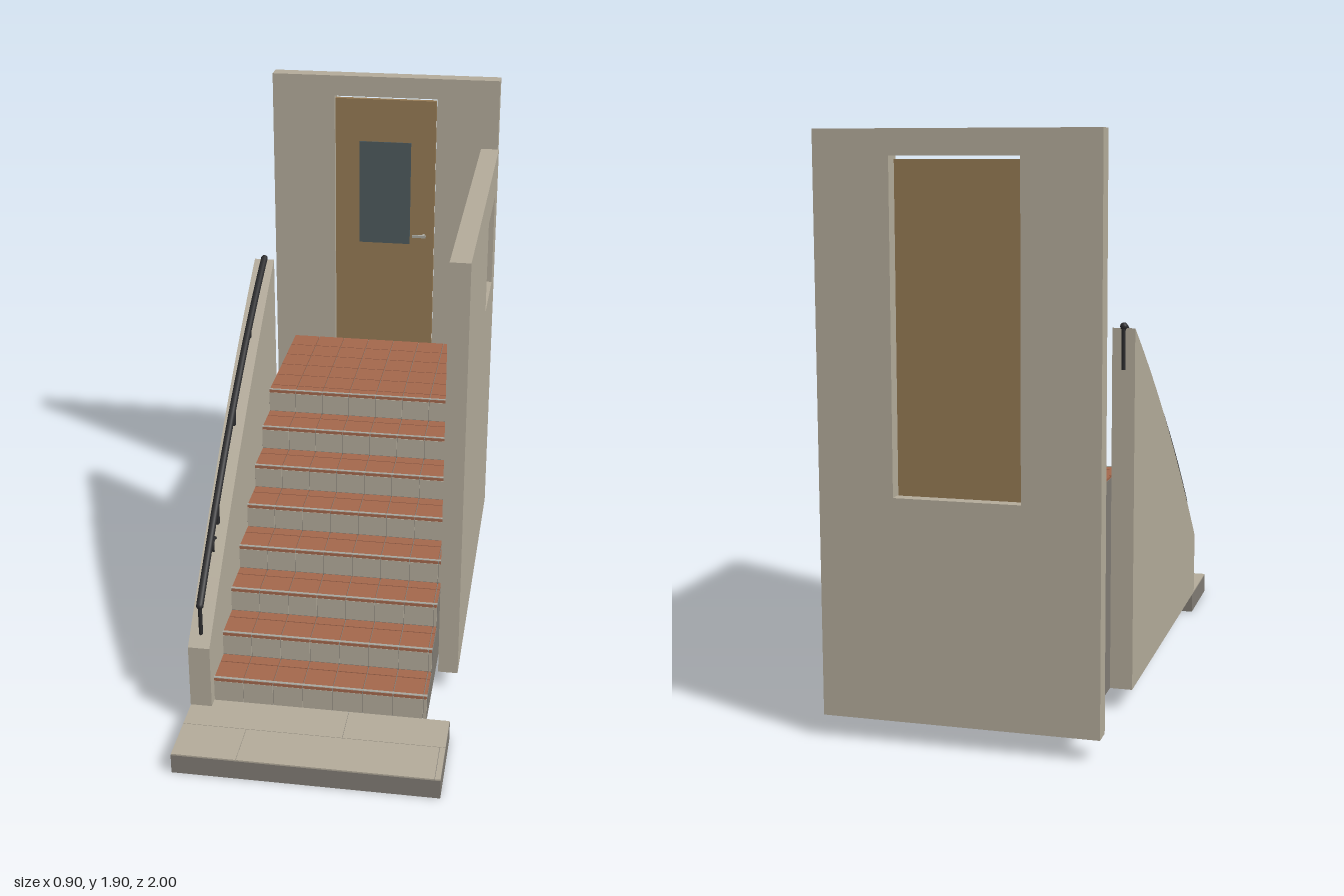
import * as THREE from 'three';

const mat = (name, color) => {
  const m = new THREE.MeshStandardMaterial({ color });
  m.name = name;
  return m;
};

export function createModel() {
  const model = new THREE.Group();
  model.name = 'entranceStairs';
  const plaster = mat('plaster', 0xb3ab9a);
  const concrete = mat('concrete', 0x817c74);
  const terracotta = mat('terracotta', 0xa3674c);
  const wood = mat('wood', 0x957a54);
  const glass = mat('glass', 0x4d5a5d);
  const iron = mat('iron', 0x2b2b2d);
  const metal = mat('metal', 0xa9a89f);

  const add = (name, geo, material, parent = model) => {
    const mesh = new THREE.Mesh(geo, material);
    mesh.name = name;
    parent.add(mesh);
    return mesh;
  };
  // Box given by its limits on each axis
  const box = (name, x0, x1, y0, y1, z0, z1, material, parent) => {
    const geo = new THREE.BoxGeometry(x1 - x0, y1 - y0, z1 - z0);
    geo.translate((x0 + x1) / 2, (y0 + y1) / 2, (z0 + z1) / 2);
    return add(name, geo, material, parent);
  };
  const outline = (pts) => new THREE.Shape(pts.map(([a, b]) => new THREE.Vector2(a, b)));
  const rect = (a0, a1, b0, b1) => outline([[a0, b0], [a1, b0], [a1, b1], [a0, b1]]);
  // Side profile drawn in (z, y), extruded from x0 to x1
  const sideExtrude = (name, shape, x0, x1, material) => {
    const geo = new THREE.ExtrudeGeometry(shape, { depth: x1 - x0, bevelEnabled: false });
    geo.rotateY(-Math.PI / 2);
    geo.translate(x1, 0, 0);
    return add(name, geo, material);
  };
  const group = (name) => {
    const g = new THREE.Group();
    g.name = name;
    model.add(g);
    return g;
  };

  // Front paving slab with staggered tiles
  box('pavingSlab', -0.45, 0.45, 0, 0.07, 0.68, 1, concrete);
  const paving = group('pavingTiles');
  [[0.68, 0.83, [-0.45, 0.1, 0.45]], [0.83, 1, [-0.45, -0.23, 0.43, 0.45]]].forEach(([z0, z1, xs]) => {
    for (let i = 0; i < xs.length - 1; i++) {
      box('pavingTile', xs[i] + 0.001, xs[i + 1] - 0.001, 0.069, 0.075, z0 + 0.001, z1 - 0.001, plaster, paving);
    }
  });

  // Solid stair body
  const steps = 8, run = 0.15, rise = 0.0895, floor = 0.072, left = -0.375, right = 0.37, back = -0.935;
  const nose = (i) => 0.68 - i * run;
  const top = (i) => 0.165 + i * rise;
  const profile = [[nose(0) - 0.006, floor]];
  for (let i = 0; i < steps; i++) {
    profile.push([nose(i) - 0.006, top(i) - 0.008]);
    profile.push([i < steps - 1 ? nose(i + 1) - 0.006 : back, top(i) - 0.008]);
  }
  profile.push([back, floor]);
  sideExtrude('stairBody', outline(profile.reverse()), left, right, concrete);

  // Tread tiles, riser tiles and nosing strips
  const tile = 0.1045, gap = 0.002;
  const columns = [];
  for (let x = left; x < right - 0.005; x += tile) columns.push([x + gap, Math.min(x + tile, right) - gap]);
  const treads = group('treadTiles'), risers = group('riserTiles'), nosings = group('nosings');
  for (let i = 0; i < steps; i++) {
    const y = top(i), z = nose(i);
    const rows = i < steps - 1
      ? [z, z - tile, z - run - 0.002]
      : [z, -0.42, -0.523, -0.626, -0.729, -0.832, back];
    const y0 = i ? top(i - 1) : floor;
    columns.forEach(([x0, x1]) => {
      for (let r = 0; r < rows.length - 1; r++) {
        box('treadTile', x0, x1, y - 0.011, y, rows[r + 1] + gap, rows[r] - (r ? gap : 0), terracotta, treads);
      }
      box('riserTile', x0 - 0.001, x1 + 0.001, y0, y - 0.013, z - 0.01, z - 0.002, plaster, risers);
    });
    box('nosing', left, right, y, y + 0.002, z - 0.011, z - 0.001, metal, nosings);
  }

  // Tall side wall with a recessed window niche and inner sill
  const tall = rect(-0.935, 0.39, 0.072, 1.63);
  tall.holes.push(rect(-0.79, -0.46, 1.13, 1.48));
  sideExtrude('tallSideWall', tall, 0.38, 0.45, plaster);
  box('nichePanel', 0.376, 0.395, 1.13, 1.48, -0.79, -0.46, plaster);
  box('nicheSill', 0.355, 0.385, 1.118, 1.133, -0.82, -0.44, plaster);

  // Back wall with the door opening
  const rear = rect(-0.45, 0.445, 0.072, 1.9);
  rear.holes.push(rect(-0.203, 0.203, 0.785, 1.82));
  const rearGeo = new THREE.ExtrudeGeometry(rear, { depth: 0.065, bevelEnabled: false });
  rearGeo.translate(0, 0, -1);
  add('backWall', rearGeo, plaster);

  // Door with window and handle
  box('door', -0.2, 0.2, 0.785, 1.81, -0.96, -0.94, wood);
  box('doorWindow', -0.103, 0.103, 1.22, 1.64, -0.942, -0.936, glass);
  box('doorHandle', 0.115, 0.17, 1.255, 1.265, -0.923, -0.914, metal);
  box('handleStem', 0.155, 0.164, 1.256, 1.264, -0.941, -0.92, metal);

  // Low side wall with a gently arched top
  const arch = (z, z0, z1, y0, y1, bulge) => {
    const t = (z0 - z) / (z0 - z1);
    return y0 + (y1 - y0) * t + 4 * bulge * t * (1 - t);
  };
  const wallTop = (z) => arch(z, 0.72, -0.52, 0.31, 1.275, 0.05);
  const railY = (z) => arch(z, 0.68, -0.515, 0.455, 1.28, 0.065);
  const low = [[-0.52, 0.072], [0.72, 0.072]];
  for (let i = 0; i <= 20; i++) low.push([0.72 - 1.24 * i / 20, wallTop(0.72 - 1.24 * i / 20)]);
  sideExtrude('lowSideWall', outline(low), -0.45, -0.375, plaster);

  // Handrail, posts and ring
  const railX = -0.412, path = [];
  for (let i = 0; i <= 12; i++) {
    const z = 0.68 - 1.195 * i / 12;
    path.push(new THREE.Vector3(railX, railY(z), z));
  }
  add('handrail', new THREE.TubeGeometry(new THREE.CatmullRomCurve3(path), 40, 0.013, 12), iron);
  [path[0], path[12]].forEach((p) => {
    add('handrailEnd', new THREE.SphereGeometry(0.013, 12, 8), iron).position.copy(p);
  });
  for (let i = 0; i < 5; i++) {
    const z = 0.68 - 1.195 * i / 4;
    const y1 = railY(z), y0 = i === 4 ? y1 - 0.14 : wallTop(z) - 0.02;
    const post = add('railPost', new THREE.CylinderGeometry(0.007, 0.007, y1 - y0, 10), iron);
    post.position.set(railX, (y0 + y1) / 2, i === 4 ? -0.518 : z);
  }
  const ring = add('railRing', new THREE.TorusGeometry(0.024, 0.005, 8, 20), iron);
  ring.rotation.y = Math.PI / 2;
  ring.position.set(railX, wallTop(0.445) + 0.002, 0.445);

  return model;
}
